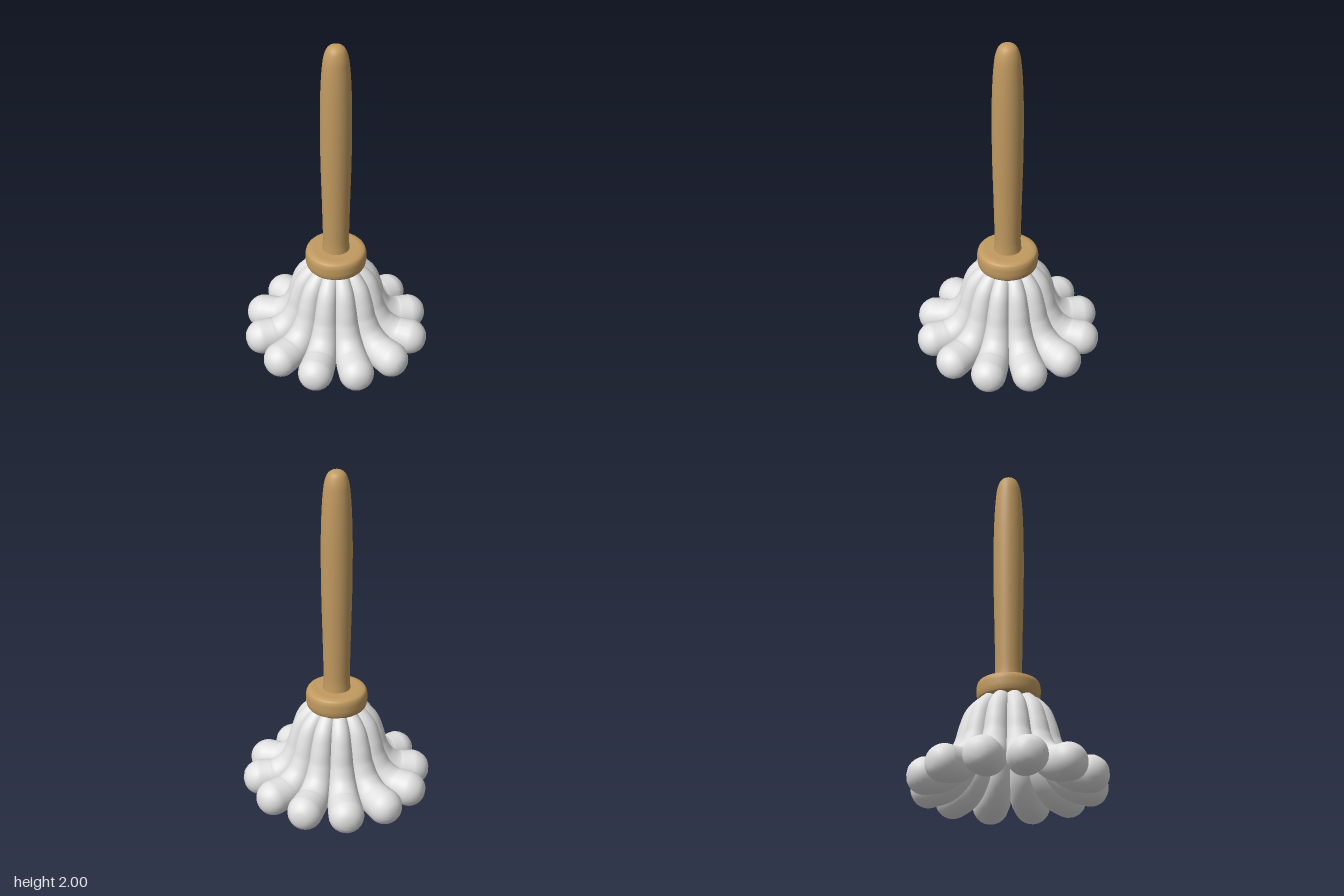
import * as THREE from 'three';
import { mergeVertices } from 'three/addons/utils/BufferGeometryUtils.js';

const wood = new THREE.MeshStandardMaterial({ color: 0xc19a60 });
wood.name = 'wood';
const cotton = new THREE.MeshStandardMaterial({ color: 0xe0e0e0 });
cotton.name = 'cotton';

// Smooth turned shape through [radius, y] points
function turned(name, points) {
  const curve = new THREE.CatmullRomCurve3(
    points.map(([r, y]) => new THREE.Vector3(r, y, 0)), false, 'centripetal');
  const profile = curve.getPoints(points.length * 6)
    .map(p => new THREE.Vector2(Math.max(p.x, 0), p.y));
  const mesh = new THREE.Mesh(new THREE.LatheGeometry(profile, 48), wood);
  mesh.name = name;
  return mesh;
}

// Strand: a tube swept out along +x that swells to a rounded tip
function strandGeometry() {
  const path = new THREE.CatmullRomCurve3([
    [0.05, 0.585], [0.13, 0.542], [0.188, 0.47], [0.215, 0.38], [0.235, 0.28],
    [0.275, 0.19], [0.35, 0.125], [0.45, 0.106], [0.555, 0.104],
  ].map(([x, y]) => new THREE.Vector3(x, y, 0)), false, 'centripetal');
  const steps = 90, sides = 24, length = path.getLength(), tip = 0.104;
  const radii = [0.028, 0.045, 0.055, 0.062, 0.068, 0.077, 0.087, 0.098, 0.103, 0.104];

  const geo = new THREE.TubeGeometry(path, steps, 1, sides, false);
  const pos = geo.attributes.position, v = new THREE.Vector3();
  for (let i = 0; i <= steps; i++) {
    const u = i / steps, centre = path.getPointAt(u);
    const k = Math.min(u * (radii.length - 1), radii.length - 1.001), n = Math.floor(k);
    let r = THREE.MathUtils.lerp(radii[n], radii[n + 1], k - n);
    const into = 1 - (1 - u) * length / tip; // 0..1 across the rounded end
    if (into > 0) r *= Math.sqrt(Math.max(0, 1 - into * into));
    for (let j = 0; j <= sides; j++) {
      const id = i * (sides + 1) + j;
      v.fromBufferAttribute(pos, id).sub(centre).multiplyScalar(r).add(centre);
      pos.setXYZ(id, v.x, v.y, v.z);
    }
  }
  geo.deleteAttribute('uv');
  geo.deleteAttribute('normal');
  const welded = mergeVertices(geo, 1e-5);
  welded.computeVertexNormals();
  return welded;
}

export function createModel() {
  const model = new THREE.Group();
  model.name = 'mop';

  // Handle with a rounded top
  model.add(turned('handle', [
    [0, 0.6], [0.073, 0.602], [0.075, 0.75], [0.08, 1], [0.086, 1.25], [0.088, 1.45],
    [0.087, 1.62], [0.083, 1.75], [0.076, 1.86], [0.066, 1.935], [0.048, 1.98],
    [0.024, 1.997], [0, 2],
  ]));

  // Rounded collar that clamps the strands
  model.add(turned('collar', [
    [0, 0.56], [0.12, 0.558], [0.15, 0.56], [0.168, 0.572], [0.176, 0.595], [0.178, 0.625],
    [0.176, 0.655], [0.167, 0.674], [0.145, 0.683], [0.11, 0.684], [0, 0.684],
  ]));

  // Ring of twelve strands
  const strands = new THREE.Group();
  strands.name = 'strands';
  const geo = strandGeometry();
  for (let i = 0; i < 12; i++) {
    const strand = new THREE.Mesh(geo, cotton);
    strand.name = 'strand';
    strand.rotation.y = (i + 0.5) * Math.PI / 6;
    strands.add(strand);
  }
  model.add(strands);
  return model;
}
